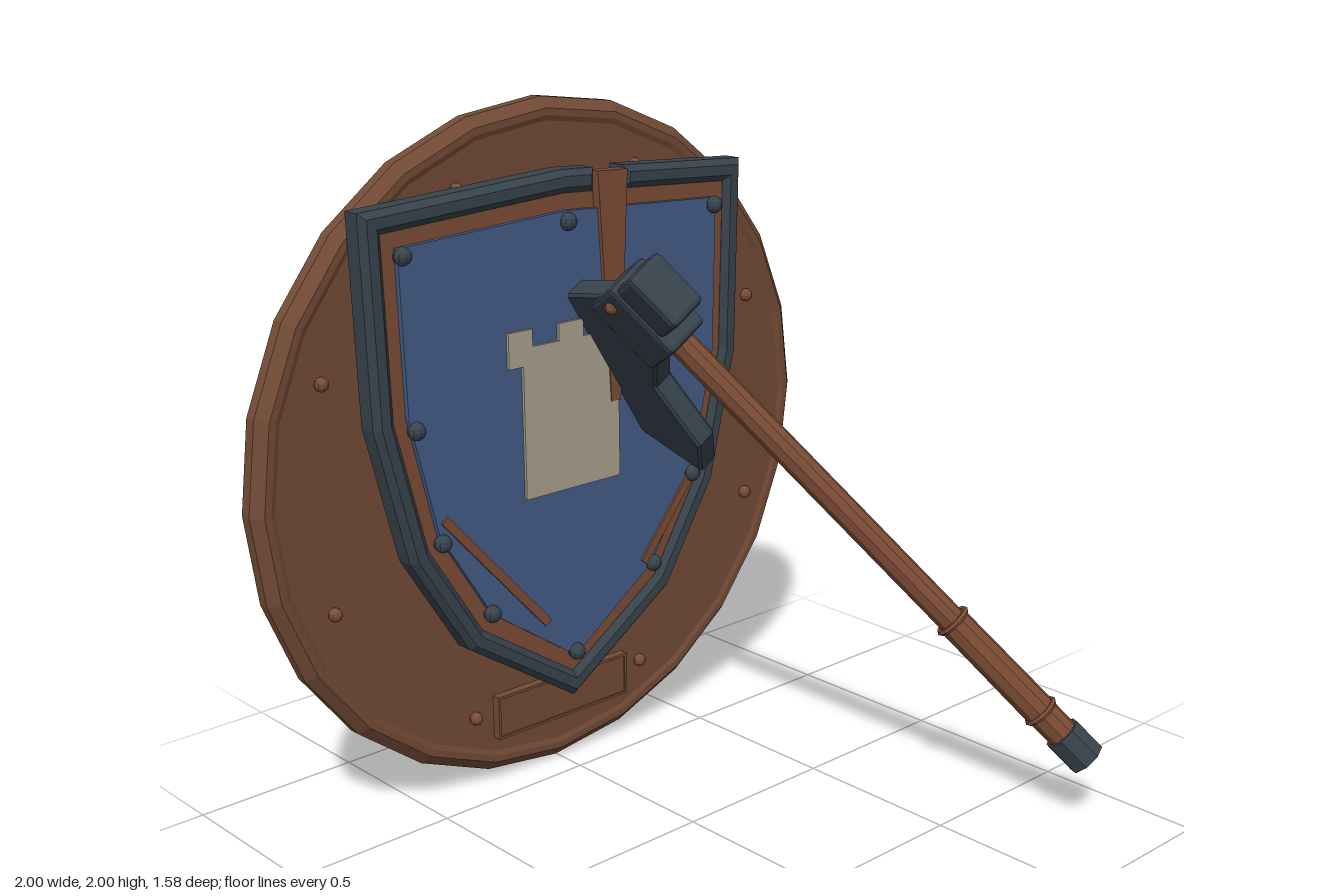
import * as THREE from 'three';
import { RoundedBoxGeometry } from 'three/addons/geometries/RoundedBoxGeometry.js';

const mat = (name, color, flatShading = true) => {
  const m = new THREE.MeshStandardMaterial({ color, flatShading });
  m.name = name;
  return m;
};

export function createModel() {
  const wood = mat('disc wood', 0x734b36);
  const trim = mat('trim wood', 0x7c4c35);
  const iron = mat('dark iron', 0x38434c);
  const blue = mat('blue paint', 0x435c88);
  const stone = mat('pale paint', 0xaba18c);

  const root = new THREE.Group();
  root.name = 'axeInShield';
  const add = (parent, name, geo, material, x = 0, y = 0, z = 0) => {
    const m = new THREE.Mesh(geo, material);
    m.name = name;
    m.position.set(x, y, z);
    parent.add(m);
    return m;
  };
  const shapeOf = (pts) => new THREE.Shape(pts.map(([x, y]) => new THREE.Vector2(x, y)));
  // plate from an outline, spanning z0 to z1, with an optional chamfer
  const plate = (pts, z0, z1, bevel = 0) =>
    new THREE.ExtrudeGeometry(shapeOf(pts), {
      depth: z1 - z0 - 2 * bevel, bevelEnabled: bevel > 0, bevelSize: bevel,
      bevelThickness: bevel, bevelOffset: -bevel, bevelSegments: 1,
    }).translate(0, 0, z0 + bevel);
  const mirrored = (right) => [...right, ...right.slice(1, -1).reverse().map(([x, y]) => [-x, y])];

  // round backing disc
  const profile = [[0, -0.695], [0.945, -0.695], [0.96, -0.665], [1, -0.65], [1, -0.615],
    [0.97, -0.588], [0.95, -0.588], [0.935, -0.594], [0, -0.594]];
  const disc = new THREE.LatheGeometry(profile.map(([x, y]) => new THREE.Vector2(x, y)), 24);
  add(root, 'backingDisc', disc.rotateX(Math.PI / 2), wood, 0, 1, 0);

  // rivets round the disc
  for (const s of [-1, 1])
    for (const [x, y] of [[0.777, 1.325], [0.777, 0.68], [0.32, 0.228], [0.32, 1.78]])
      add(root, 'discRivet', new THREE.SphereGeometry(0.02, 10, 8), trim, s * x, y, -0.585);

  // blank name plate with a raised frame
  add(root, 'namePlate', new THREE.BoxGeometry(0.5, 0.135, 0.025), wood, 0, 0.21, -0.584);
  for (const s of [-1, 1]) {
    add(root, 'namePlateRail', new THREE.BoxGeometry(0.5, 0.008, 0.03), wood, 0, 0.21 + s * 0.0635, -0.582);
    add(root, 'namePlateStile', new THREE.BoxGeometry(0.008, 0.135, 0.03), wood, s * 0.246, 0.21, -0.582);
  }

  // shield board and painted field
  const edge = [[0, 1.775], [0.648, 1.738], [0.633, 1.19], [0.537, 0.8], [0.355, 0.505], [0, 0.268]];
  const field = [[0, 1.695], [0.572, 1.665], [0.56, 1.2], [0.475, 0.85], [0.305, 0.575], [0, 0.36]];
  add(root, 'shieldBoard', plate(mirrored(edge), -0.6, -0.525), trim);
  add(root, 'shieldField', plate(mirrored(field), -0.53, -0.509), blue);

  // iron rim, broken at the crack
  const path = [[0.215, 1.764], ...edge.slice(1), ...edge.slice(1, -1).reverse().map(([x, y]) => [-x, y]),
    [0, 1.775], [0.108, 1.769]].map(([x, y]) => new THREE.Vector2(x, y));
  const offset = (d) => path.map((p, i) => {
    const dirs = [path[i - 1] && p.clone().sub(path[i - 1]), path[i + 1] && path[i + 1].clone().sub(p)]
      .filter(Boolean).map((v) => v.normalize());
    const normals = dirs.map((v) => new THREE.Vector2(v.y, -v.x));
    const n = normals.reduce((a, b) => a.clone().add(b)).normalize();
    const k = d / n.dot(normals[0]);
    return [p.x + n.x * k, p.y + n.y * k];
  });
  const band = [...offset(0.033), ...offset(-0.033).reverse()];
  add(root, 'shieldRim', plate(band, -0.595, -0.506, 0.018), iron);

  // studs on the shield
  const studs = [[0, 1.665], [0.56, 1.645], [0.54, 1.167], [0.47, 0.83], [0.308, 0.578], [0, 0.375]];
  for (const [x, y] of mirrored(studs))
    add(root, 'shieldStud', new THREE.SphereGeometry(0.026, 10, 8), iron, x, y, -0.504);

  // painted tower
  const tower = mirrored([[0, 0.89], [0.175, 0.89], [0.175, 1.28], [0.225, 1.28], [0.225, 1.383],
    [0.14, 1.383], [0.14, 1.333], [0.045, 1.333], [0.045, 1.383], [0, 1.383]]);
  add(root, 'tower', plate(tower, -0.509, -0.5), stone);

  // split in the shield and two gouges
  const split = [[0.105, 1.795], [0.145, 1.12], [0.18, 1.12], [0.215, 1.79]];
  add(root, 'split', plate(split, -0.535, -0.497), trim);
  for (const [x0, y0, x1, y1] of [[-0.46, 0.895, -0.105, 0.495], [0.272, 0.588, 0.465, 0.825]]) {
    const len = Math.hypot(x1 - x0, y1 - y0);
    const g = add(root, 'gouge', new THREE.BoxGeometry(len, 0.027, 0.008), trim,
      (x0 + x1) / 2, (y0 + y1) / 2, -0.506);
    g.rotation.z = Math.atan2(y1 - y0, x1 - x0);
  }

  // axe: local y runs up the handle, local z points towards the cutting edge
  const axe = new THREE.Group();
  axe.name = 'axe';
  const up = new THREE.Vector3(-0.442, 0.712, -0.546).normalize();
  const cut = new THREE.Vector3(0, 0, -1).addScaledVector(up, up.z).normalize();
  const side = new THREE.Vector3().crossVectors(up, cut);
  axe.quaternion.setFromRotationMatrix(new THREE.Matrix4().makeBasis(side, up, cut));
  axe.position.set(0.795, 0.235, 0.73);
  root.add(axe);

  const rod = (name, r0, r1, a, b, material, sides = 10) =>
    add(axe, name, new THREE.CylinderGeometry(r1, r0, b - a, sides), material, 0, (a + b) / 2, 0);
  rod('pommel', 0.057, 0.057, -0.055, 0.05, iron, 8);
  rod('gripEnd', 0.046, 0.046, 0.05, 0.14, trim);
  rod('grip', 0.048, 0.046, 0.14, 0.505, trim);
  rod('handle', 0.04, 0.04, 0.5, 1.65, trim);
  for (const a of [0.14, 0.505]) {
    const ring = new THREE.TorusGeometry(0.047, 0.009, 6, 14).rotateX(Math.PI / 2);
    add(axe, 'gripRing', ring, trim, 0, a, 0);
  }

  // axe head
  add(axe, 'eyeBlock', new RoundedBoxGeometry(0.145, 0.245, 0.18, 1, 0.014), iron, 0, 1.715, 0.03);
  add(axe, 'poll', new RoundedBoxGeometry(0.125, 0.18, 0.13, 1, 0.016), iron, 0, 1.733, -0.1);
  const blade = [[0.06, 1.62], [0.116, 1.608], [0.257, 1.536], [0.327, 1.321], [0.441, 1.253],
    [0.535, 1.44], [0.572, 1.6], [0.577, 1.745], [0.518, 1.945], [0.485, 2.013], [0.337, 1.939], [0.06, 1.828]];
  add(axe, 'blade', plate(blade, -0.037, 0.037, 0.008).rotateY(-Math.PI / 2), iron);
  for (const s of [-1, 1])
    add(axe, 'headRivet', new THREE.SphereGeometry(0.018, 10, 8), trim, s * 0.074, 1.795, 0.01);

  return root;
}
